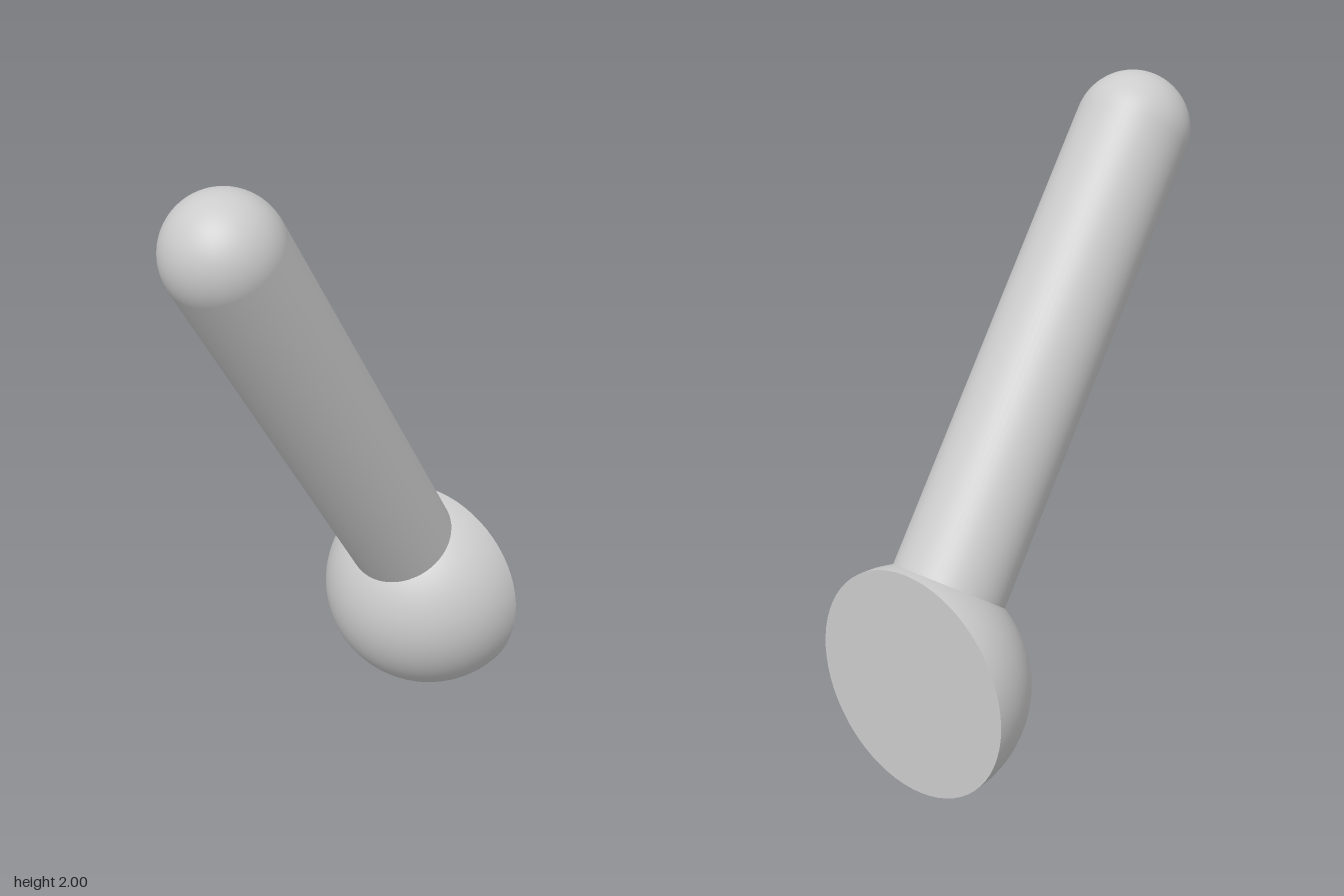
import * as THREE from 'three';

const BASE_R = 0.355, ROD_R = 0.176;
const ROD_START = 0.3; // just inside the base dome
const BASE = new THREE.Vector3(0, BASE_R, -0.6);
const TIP = new THREE.Vector3(0, 2 - ROD_R, 0.6 - ROD_R);

export function createModel() {
  const group = new THREE.Group();
  const material = new THREE.MeshStandardMaterial({ color: 0xcccccc });
  const add = (parent, name, geometry) => {
    const mesh = new THREE.Mesh(geometry, material);
    mesh.name = name;
    parent.add(mesh);
    return mesh;
  };
  const dome = (r) => new THREE.SphereGeometry(r, 64, 24, 0, Math.PI * 2, 0, Math.PI / 2);

  // Half-ball base, flat side to the back
  const base = new THREE.Group();
  base.name = 'base';
  base.position.copy(BASE);
  add(base, 'baseDome', dome(BASE_R).rotateX(Math.PI / 2));
  add(base, 'baseBack', new THREE.CircleGeometry(BASE_R, 64).rotateY(Math.PI));
  group.add(base);

  // Leaning peg with a rounded end, aimed out from the centre of the base
  const axis = TIP.clone().sub(BASE);
  const length = axis.length();
  const peg = new THREE.Group();
  peg.name = 'peg';
  peg.position.copy(BASE);
  peg.rotation.x = Math.atan2(axis.z, axis.y);
  const shaft = new THREE.CylinderGeometry(ROD_R, ROD_R, length - ROD_START, 64, 1, true);
  add(peg, 'pegShaft', shaft.translate(0, (length + ROD_START) / 2, 0));
  add(peg, 'pegTip', dome(ROD_R).translate(0, length, 0));
  group.add(peg);

  return group;
}
